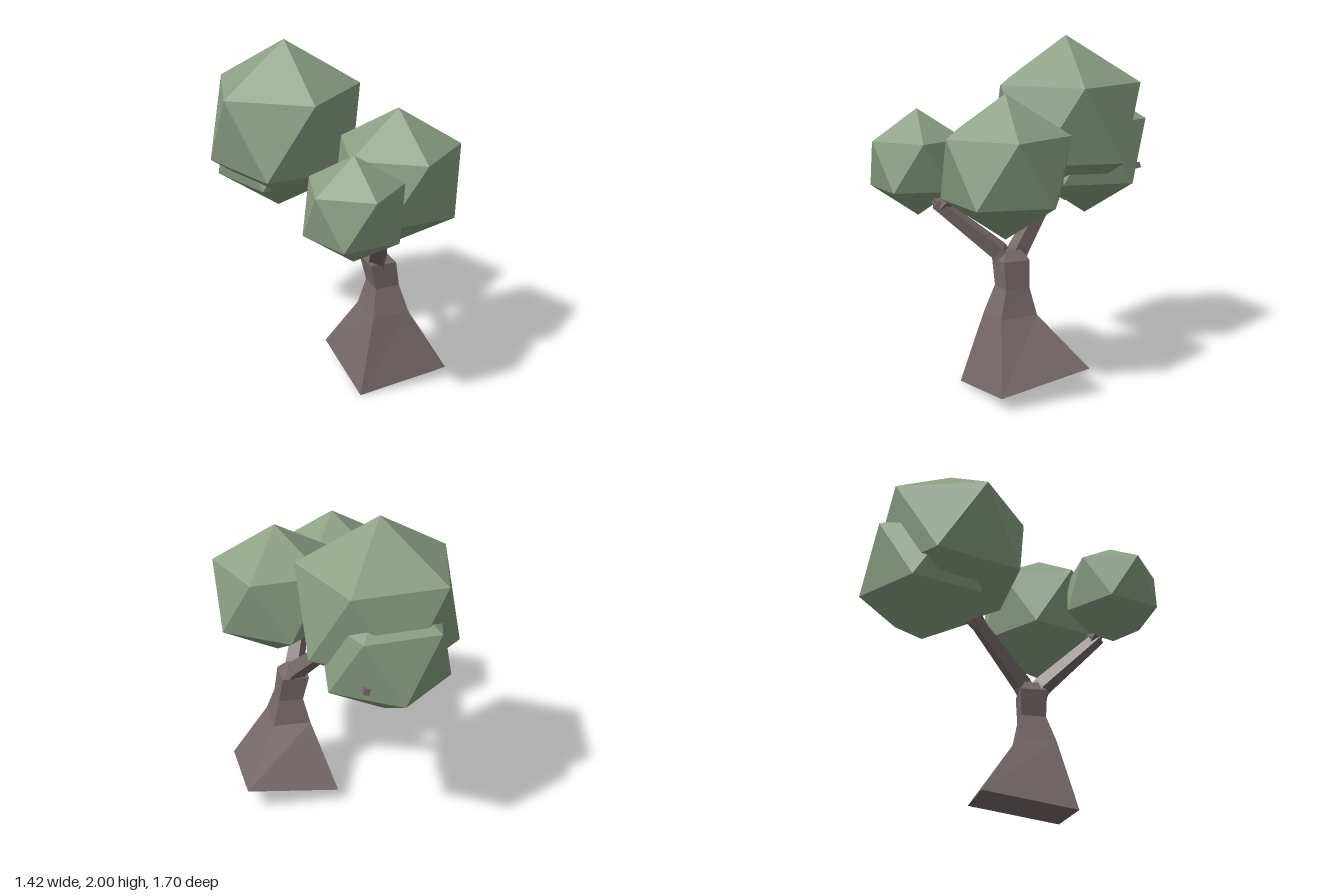
import * as THREE from 'three';

const BARK = new THREE.MeshStandardMaterial({ color: 0x776b6a, flatShading: true });
const LEAF = new THREE.MeshStandardMaterial({ color: 0x8a9f82, flatShading: true });
const V = (x, y, z) => new THREE.Vector3(x, y, z);

// Faceted, capped skin over four-cornered rings
function loft(rings) {
  const pts = [];
  const tri = (...corners) => corners.forEach(p => pts.push(p));
  for (let k = 0; k < rings.length - 1; k++) {
    const a = rings[k], b = rings[k + 1];
    for (let i = 0; i < 4; i++) {
      const j = (i + 1) % 4;
      tri(a[i], a[j], b[j]);
      tri(a[i], b[j], b[i]);
    }
  }
  const a = rings[0], b = rings[rings.length - 1];
  tri(a[0], a[2], a[1]);
  tri(a[0], a[3], a[2]);
  tri(b[0], b[1], b[2]);
  tri(b[0], b[2], b[3]);
  const geo = new THREE.BufferGeometry().setFromPoints(pts);
  geo.computeVertexNormals();
  return geo;
}

// Leaning trunk: each ring is the turned square base, scaled and levelled
function trunkRing([x, y, z, scale, tilt]) {
  const a = V(-0.195, -0.08 * tilt, 0.34), b = V(0.345, -0.005 * tilt, 0.2);
  return [[a, 1], [b, 1], [a, -1], [b, -1]].map(([v, s]) => V(x, y, z).addScaledVector(v, s * scale));
}

// Four-sided limb along points of [x, y, z, half thickness]
function limb(path) {
  const p = path.map(([x, y, z]) => V(x, y, z));
  return loft(path.map((q, k) => {
    const d = p[Math.min(k + 1, p.length - 1)].clone().sub(p[Math.max(k - 1, 0)]).normalize();
    const n = d.clone().cross(V(0, 1, 0)).normalize();
    const m = d.clone().cross(n);
    return [0, 1, 2, 3].map(i => {
      const t = i * Math.PI / 2 + 0.5;
      return p[k].clone().addScaledVector(n, Math.cos(t) * q[3]).addScaledVector(m, Math.sin(t) * q[3]);
    });
  }));
}

export function createModel() {
  const group = new THREE.Group();
  const add = (name, geo, mat) => {
    const mesh = new THREE.Mesh(geo, mat);
    mesh.name = name;
    group.add(mesh);
    return mesh;
  };

  add('trunk', loft([
    [0.305, 0.08, 0.02, 1, 1],
    [0.28, 0.45, 0.095, 0.41, 0.15],
    [0.275, 0.61, 0.083, 0.265, 0],
    [0.245, 0.765, 0.085, 0.29, 0],
    [0.232, 0.82, 0.085, 0.16, 0],
  ].map(trunkRing)), BARK);

  // Two main limbs, each forking into the foliage
  const limbs = {
    frontBranch: [[0.245, 0.72, 0.1, 0.065], [0.235, 0.81, 0.15, 0.06], [0.19, 1.1, 0.5, 0.042]],
    frontTwig: [[0.195, 1.08, 0.47, 0.042], [0.05, 1.25, 0.6, 0.025]],
    sideTwig: [[0.195, 1.08, 0.47, 0.042], [0.31, 1.22, 0.36, 0.025]],
    backBranch: [[0.245, 0.72, 0.08, 0.065], [0.215, 0.82, 0.03, 0.062], [0, 1.12, -0.21, 0.045]],
    backTwig: [[0.02, 1.1, -0.19, 0.045], [-0.03, 1.15, -0.26, 0.042], [-0.21, 1.2, -0.82, 0.025]],
    upperTwig: [[0.01, 1.11, -0.2, 0.045], [-0.24, 1.4, -0.36, 0.025]],
  };
  for (const [name, path] of Object.entries(limbs)) add(name, limb(path), BARK);

  // Foliage: icosahedra standing on a point
  const ico = new THREE.IcosahedronGeometry(1, 0);
  ico.rotateZ(-Math.atan(2 / (1 + Math.sqrt(5))));
  const clumps = {
    largeFoliage: [-0.26, 1.494, -0.36, 0.506],
    sideFoliage: [0.34, 1.31, 0.135, 0.41],
    frontFoliage: [0.03, 1.307, 0.585, 0.309],
    backFoliage: [-0.3, 1.31, -0.5, 0.41],
  };
  for (const [name, [x, y, z, r]] of Object.entries(clumps)) {
    const clump = add(name, ico, LEAF);
    clump.position.set(x, y, z);
    clump.scale.setScalar(r);
  }
  return group;
}
